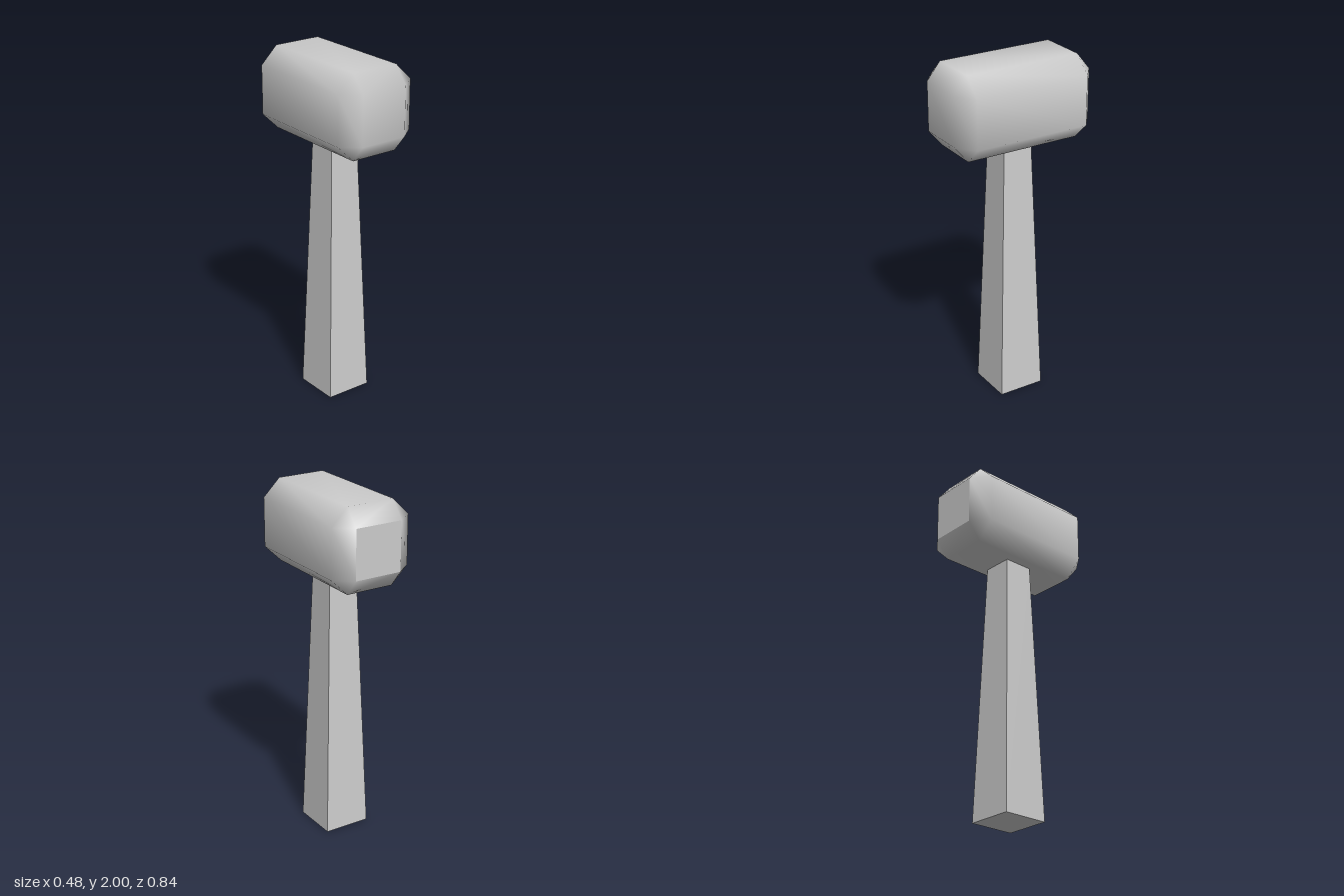
import * as THREE from 'three';

const grey = new THREE.MeshStandardMaterial({ color: 0xcccccc });
grey.name = 'plain grey';

// Head sizes: half extents, and half extents of the flat face inside the bevels
const OUT = 0.24, FLAT = 0.14, END = 0.42, BODY = 0.34, MID_Y = 1.7625;
const CORNERS = [[1, -1], [1, 1], [-1, 1], [-1, -1]];

function geometryFrom(points, index) {
  const g = new THREE.BufferGeometry();
  g.setAttribute('position', new THREE.Float32BufferAttribute(points.flat(), 3));
  g.setIndex(index);
  g.computeVertexNormals();
  return g;
}

// Square end of the head, counter-clockwise seen from +z
const endRing = z => CORNERS.map(([sx, sy]) => [sx * FLAT, sy * FLAT, z]);

// Octagonal section of the head, two points at each corner
const bodyRing = z => CORNERS.flatMap(([sx, sy]) => {
  const upright = [sx * FLAT, sy * OUT * 0.99, z];
  const sideways = [sx * OUT, sy * FLAT, z];
  return sx * sy < 0 ? [upright, sideways] : [sideways, upright];
});

// Bevelled block with shared vertices, so its shading is smooth
function headShell() {
  const points = [...endRing(END), ...bodyRing(BODY), ...bodyRing(-BODY), ...endRing(-END)];
  const rings = [
    k => (k % 8) >> 1,
    k => 4 + (k % 8),
    k => 12 + (k % 8),
    k => 20 + ((k % 8) >> 1),
  ];
  const index = [0, 1, 2, 0, 2, 3];
  for (let r = 0; r < 3; r++) {
    for (let k = 0; k < 8; k++) {
      const a = rings[r](k), b = rings[r](k + 1);
      const d = rings[r + 1](k), c = rings[r + 1](k + 1);
      if (a !== b) index.push(a, d, b);
      if (c !== d) index.push(b, d, c);
    }
  }
  return geometryFrom(points, index);
}

function addMesh(parent, name, geometry) {
  const mesh = new THREE.Mesh(geometry, grey);
  mesh.name = name;
  parent.add(mesh);
  return mesh;
}

export function createModel() {
  const model = new THREE.Group();
  model.name = 'mallet';

  // Head, with a crisp flat face at the back
  const head = new THREE.Group();
  head.name = 'head';
  head.position.y = MID_Y;
  addMesh(head, 'headBlock', headShell());
  addMesh(head, 'backFace', geometryFrom(endRing(-END), [0, 2, 1, 0, 3, 2]));
  model.add(head);

  // Square handle, tapering towards the head
  const height = 1.53;
  const taper = new THREE.CylinderGeometry(0.086 * Math.SQRT2, 0.136 * Math.SQRT2, height, 4)
    .rotateY(Math.PI / 4)
    .toNonIndexed();
  taper.computeVertexNormals();
  addMesh(model, 'handle', taper).position.y = height / 2;

  return model;
}
